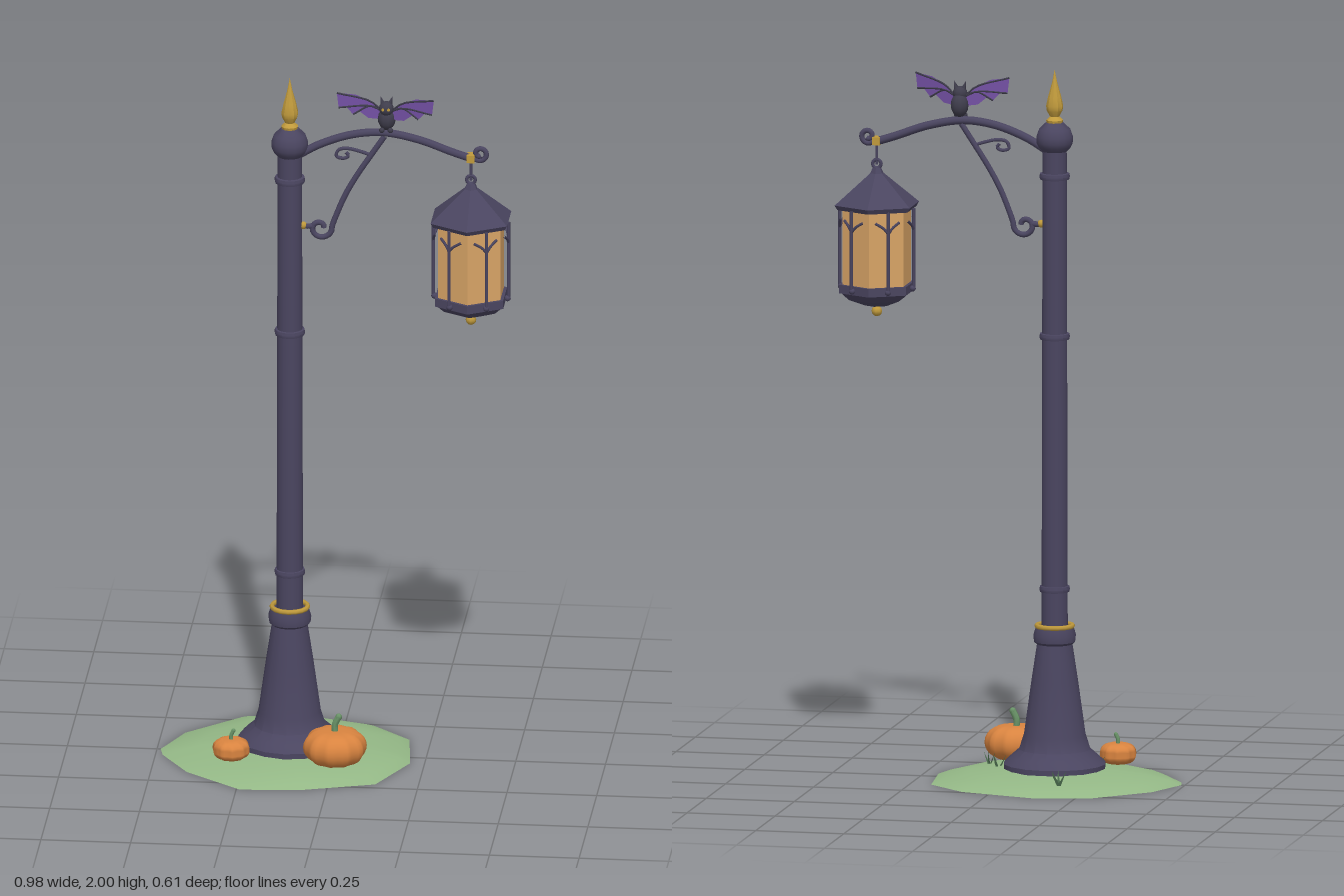
import * as THREE from 'three';
import { toCreasedNormals } from 'three/addons/utils/BufferGeometryUtils.js';

const mat = (name, color, extra = {}) => Object.assign(new THREE.MeshStandardMaterial({ color, ...extra }), { name });
const V = (x, y, z = 0) => new THREE.Vector3(x, y, z);

export function createModel() {
  const iron = mat('iron', 0x4a4560);
  const gold = mat('gold', 0xc09a3c);
  const glass = mat('lanternGlass', 0xd8a466);
  const grass = mat('grass', 0x94b886);
  const orange = mat('pumpkinOrange', 0xd98440);
  const stemGreen = mat('stemGreen', 0x6a9468);
  const blade = mat('grassBlade', 0x4a6b4c, { side: THREE.DoubleSide });
  const batFur = mat('batFur', 0x3f3d4c);
  const batWing = mat('batWing', 0x7350a4, { side: THREE.DoubleSide });

  const model = new THREE.Group();
  model.name = 'lampPost';
  const group = (name, x = 0, y = 0, z = 0, parent = model) => {
    const g = new THREE.Group();
    g.name = name;
    g.position.set(x, y, z);
    parent.add(g);
    return g;
  };
  const add = (parent, name, geo, material, x = 0, y = 0, z = 0) => {
    const m = new THREE.Mesh(geo, material);
    m.name = name;
    m.position.set(x, y, z);
    parent.add(m);
    return m;
  };
  const lathe = (pts, sides, crease = 0.6) =>
    toCreasedNormals(new THREE.LatheGeometry(pts.map(p => new THREE.Vector2(...p)), sides), crease);
  const tube = (pts, r, seg = 24, sides = 8) =>
    new THREE.TubeGeometry(new THREE.CatmullRomCurve3(pts), seg, r, sides);
  const spiral = (cx, cy, a0, a1, r0, r1, n = 12) => Array.from({ length: n + 1 }, (_, i) => {
    const t = i / n, a = a0 + (a1 - a0) * t, r = r0 + (r1 - r0) * t;
    return V(cx + Math.cos(a) * r, cy + Math.sin(a) * r);
  });
  const ball = (r, w = 10, h = 8) => new THREE.SphereGeometry(r, w, h);

  // Grassy mound: an irregular outline shrunk ring by ring towards the post
  const PX = -0.13;
  const outline = [[-0.49, 0], [-0.435, -0.135], [-0.29, -0.275], [-0.13, -0.305], [0.08, -0.243], [0.19, -0.14],
    [0.205, 0], [0.21, 0.045], [0.13, 0.222], [-0.075, 0.288], [-0.24, 0.3], [-0.4, 0.175], [-0.48, 0.045]];
  const rings = [[1, 0], [0.9, 0.013], [0.7, 0.027], [0.4, 0.038], [0, 0.042]];
  const pos = [], idx = [], n = outline.length;
  for (const [s, y] of rings) for (const [x, z] of outline) pos.push(PX + (x - PX) * s, y, z * s);
  for (let r = 0; r < rings.length - 1; r++) for (let i = 0; i < n; i++) {
    const a = r * n + i, b = r * n + (i + 1) % n;
    idx.push(a, a + n, b, b, a + n, b + n);
  }
  for (let i = 1; i < n - 1; i++) idx.push(0, i, i + 1);
  // Outline runs clockwise seen from above, so the sides are flipped to face outward
  for (let i = 0; i < (rings.length - 1) * n * 6; i += 3) [idx[i + 1], idx[i + 2]] = [idx[i + 2], idx[i + 1]];
  const moundGeo = new THREE.BufferGeometry();
  moundGeo.setAttribute('position', new THREE.Float32BufferAttribute(pos, 3));
  moundGeo.setIndex(idx);
  // Make sure the top faces up and the underside faces down
  const P = i => V(pos[i * 3], pos[i * 3 + 1], pos[i * 3 + 2]);
  for (let i = 0; i < idx.length; i += 3) {
    const a = P(idx[i]), ny = P(idx[i + 1]).sub(a).cross(P(idx[i + 2]).sub(a)).y;
    if ((ny > 0) !== (i < (rings.length - 1) * n * 6)) [idx[i + 1], idx[i + 2]] = [idx[i + 2], idx[i + 1]];
  }
  moundGeo.setIndex(idx);
  add(model, 'mound', toCreasedNormals(moundGeo, 0.7), grass);

  // Post: flared base, shaft and bulb cap in one profile, with rings and a gold finial
  const post = group('post', PX);
  add(post, 'base', lathe([[0.143, 0.02], [0.143, 0.05], [0.125, 0.068], [0.1, 0.09], [0.087, 0.13], [0.066, 0.28],
    [0.05, 0.385], [0.058, 0.392], [0.06, 0.41], [0.054, 0.43], [0.036, 0.432]], 16), iron);
  add(post, 'shaft', new THREE.CylinderGeometry(0.034, 0.037, 1.38, 16, 1, true), iron, 0, 1.11);
  add(post, 'cap', lathe([[0.034, 1.77], [0.045, 1.782], [0.051, 1.795], [0.051, 1.812], [0.044, 1.832],
    [0.026, 1.85], [0, 1.855]], 16), iron);
  for (const y of [0.54, 1.25, 1.7]) {
    add(post, 'shaftRing', lathe([[0.03, y - 0.01], [0.041, y - 0.008], [0.043, y], [0.041, y + 0.008], [0.03, y + 0.01]], 16), iron);
  }
  add(post, 'goldRing', new THREE.TorusGeometry(0.05, 0.007, 6, 16).rotateX(Math.PI / 2), gold, 0, 0.436);
  add(post, 'finial', lathe([[0.022, 1.85], [0.024, 1.858], [0.013, 1.868], [0.022, 1.885], [0.024, 1.898],
    [0.018, 1.925], [0.007, 1.965], [0, 2]], 10), gold);

  // Arm with curled end, brace scroll and small inner scroll
  const arm = group('arm');
  add(arm, 'armBar', tube([V(-0.11, 1.77), V(-0.05, 1.805), V(0.04, 1.838), V(0.13, 1.848), V(0.23, 1.83),
    V(0.32, 1.798), V(0.375, 1.78)], 0.0115, 32), iron);
  add(arm, 'armCurl', tube([V(0.36, 1.785), ...spiral(0.4, 1.795, -2.2, 5.4, 0.022, 0.007)], 0.0075, 40), iron);
  add(arm, 'brace', tube([V(0.135, 1.838), V(0.1, 1.785), V(0.058, 1.72), V(0.025, 1.66), V(0.002, 1.605),
    ...spiral(-0.045, 1.56, 0.2, -6.2, 0.034, 0.01)], 0.008, 60), iron);
  add(arm, 'braceFoot', tube([V(-0.1, 1.565), V(-0.08, 1.563), V(-0.06, 1.565)], 0.008, 4), iron);
  add(arm, 'braceStud', ball(0.011, 8, 6), gold, -0.092, 1.565);
  add(arm, 'innerScroll', tube([V(0.09, 1.782), V(0.065, 1.79), V(0.03, 1.797), V(0.006, 1.792), V(0, 1.773),
    V(0.022, 1.768), V(0.034, 1.776), V(0.026, 1.786)], 0.005, 30, 6), iron);

  // Hanging lantern: hexagonal, with posts standing off the middle of each pane
  const lantern = group('lantern', 0.375);
  const hex = (name, rTop, rBot, y0, y1, m) =>
    add(lantern, name, toCreasedNormals(new THREE.CylinderGeometry(rTop, rBot, y1 - y0, 6), 0.1), m, 0, (y0 + y1) / 2);
  add(lantern, 'hookBead', new THREE.BoxGeometry(0.022, 0.022, 0.03), gold, 0, 1.782);
  add(lantern, 'hook', new THREE.CylinderGeometry(0.004, 0.004, 0.06, 6), iron, 0, 1.745);
  add(lantern, 'hookLoop', new THREE.TorusGeometry(0.012, 0.005, 6, 12), iron, 0, 1.717);
  hex('roofNeck', 0.012, 0.022, 1.685, 1.707, iron);
  hex('roof', 0.018, 0.123, 1.605, 1.692, iron);
  hex('eave', 0.123, 0.115, 1.592, 1.605, iron);
  hex('glass', 0.1, 0.1, 1.38, 1.592, glass);
  hex('lowerRim', 0.11, 0.11, 1.358, 1.382, iron);
  hex('bowlUpper', 0.104, 0.082, 1.338, 1.358, iron);
  hex('bowlLower', 0.082, 0.035, 1.32, 1.338, iron);
  add(lantern, 'dropFinial', ball(0.015, 8, 6), gold, 0, 1.303);
  for (let i = 0; i < 6; i++) {
    const side = group('lanternPost', 0, 0, 0, lantern);
    side.rotation.y = i * Math.PI / 3;
    add(side, 'bar', new THREE.CylinderGeometry(0.005, 0.005, 0.22, 6), iron, 0.105, 1.485);
    add(side, 'foot', ball(0.009, 8, 6), iron, 0.102, 1.37);
    for (const s of [-1, 1]) {
      add(side, 'bracket', tube([V(0.105, 1.535, 0), V(0.102, 1.55, s * 0.012), V(0.095, 1.565, s * 0.035)], 0.004, 6, 5), iron);
    }
  }

  // Bat perched on the arm
  const bat = group('bat', 0.14, 1.9, 0);
  add(bat, 'body', ball(0.028), batFur, 0, -0.01).scale.set(0.9, 1.2, 0.95);
  add(bat, 'head', ball(0.021), batFur, 0, 0.022, 0.008);
  for (const s of [-1, 1]) {
    add(bat, 'ear', new THREE.ConeGeometry(0.009, 0.028, 5), batFur, s * 0.013, 0.045, 0.006).rotation.z = -s * 0.3;
    add(bat, 'eye', new THREE.CylinderGeometry(0.004, 0.004, 0.004, 8).rotateX(Math.PI / 2), gold, s * 0.008, 0.025, 0.028);
    add(bat, 'foot', ball(0.008, 6, 5), batFur, s * 0.012, -0.04, 0.015);
    // Wings sweep forward by different amounts
    const slope = s > 0 ? 0.42 : 0.15;
    const at = (x, y) => V(s * x, y, x * slope);
    const edge = [[0.012, 0.015], [0.045, 0.042], [0.085, 0.062], [0.137, 0.068], [0.132, 0.025], [0.112, 0.026],
      [0.092, 0.004], [0.074, 0.012], [0.05, -0.008], [0.012, -0.012]];
    const wing = new THREE.ShapeGeometry(new THREE.Shape(edge.map(([x, y]) => new THREE.Vector2(s * x, y))));
    const wp = wing.attributes.position;
    for (let i = 0; i < wp.count; i++) wp.setZ(i, Math.abs(wp.getX(i)) * slope);
    wing.computeVertexNormals();
    add(bat, 'wing', wing, batWing);
    for (const [x, y] of [[0.137, 0.068], [0.132, 0.025], [0.092, 0.004]]) {
      add(bat, 'wingBone', tube([at(0.012, 0.012), at(0.045, y > 0.05 ? 0.042 : 0.028), at(x, y)], 0.0028, 8, 5), batFur);
    }
  }

  // Ribbed pumpkins with stems
  const pumpkin = (name, x, y, z, r, h, turn) => {
    const g = group(name, x, y, z);
    const geo = new THREE.SphereGeometry(1, 40, 14);
    const p = geo.attributes.position;
    for (let i = 0; i < p.count; i++) {
      const q = V(p.getX(i), p.getY(i), p.getZ(i)), d = Math.hypot(q.x, q.z);
      const rib = 0.96 + 0.04 * Math.cos(10 * Math.atan2(q.z, q.x));
      const fat = Math.pow(d, 0.75) / Math.max(d, 1e-6) * rib;
      p.setXYZ(i, q.x * fat * r, (q.y - 0.15 * Math.sign(q.y) * Math.pow(1 - d, 2)) * h, q.z * fat * r);
    }
    add(g, 'flesh', toCreasedNormals(geo, 1), orange).rotation.y = turn;
    add(g, 'stem', tube([V(0, h * 0.8, 0), V(0, h * 1.2, 0), V(r * 0.12, h * 1.62, 0)], r * 0.11, 6, 6), stemGreen);
    add(g, 'stemTip', ball(r * 0.11, 6, 5), stemGreen, r * 0.12, h * 1.62, 0);
  };
  pumpkin('largePumpkin', 0.01, 0.08, 0.145, 0.089, 0.054, 0.2);
  pumpkin('smallPumpkin', -0.28, 0.06, 0.137, 0.053, 0.033, 0.5);

  // Grass tufts
  for (const [x, z, turn] of [[-0.19, -0.22, 0.3], [0.07, 0.07, 1.2], [-0.24, 0.075, 2.2], [0.03, 0.0, 0.8]]) {
    const tuft = group('grassTuft', x, 0.022, z);
    tuft.rotation.y = turn;
    for (const s of [-1, 0, 1]) {
      const leaf = new THREE.Shape([[-0.005, 0], [0.005, 0], [s * 0.014 + 0.003, 0.028], [s * 0.02, 0.044]]
        .map(q => new THREE.Vector2(...q)));
      add(tuft, 'blade', new THREE.ShapeGeometry(leaf), blade).rotation.x = s === 0 ? 0.45 : -0.2;
    }
  }
  return model;
}
